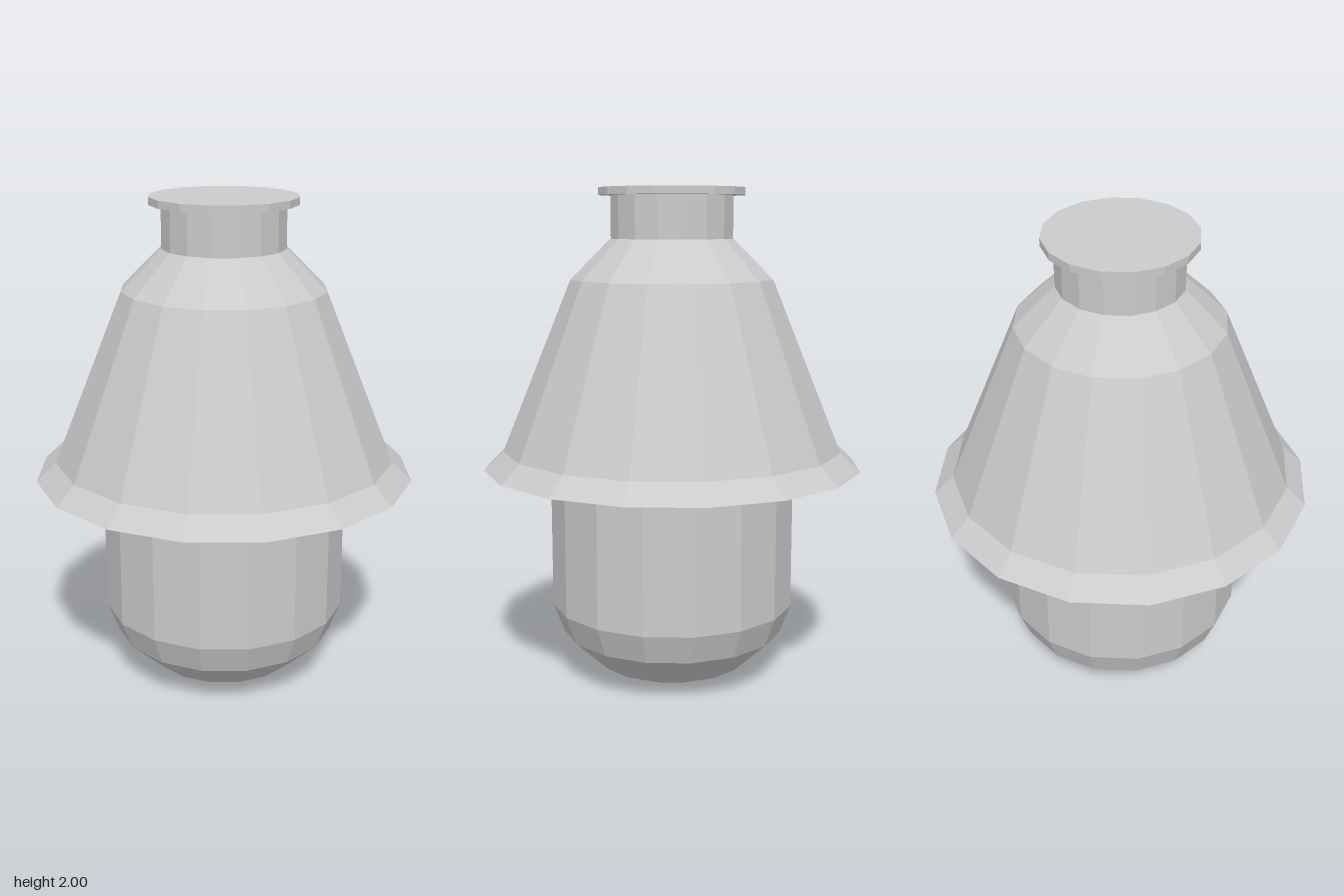
import * as THREE from 'three';

const SIDES = 16;

export function createModel() {
  const group = new THREE.Group();
  const material = new THREE.MeshStandardMaterial({ color: 0xcccccc, flatShading: true });

  // Turns a [radius, height] profile, listed from the bottom up the outside
  const turn = (name, profile) => {
    const points = profile.map(([r, y]) => new THREE.Vector2(r, y));
    const mesh = new THREE.Mesh(new THREE.LatheGeometry(points, SIDES), material);
    mesh.name = name;
    group.add(mesh);
  };

  // Rounded glass bulb, running up inside the shade
  turn('bulb', [
    [0, 0], [0.21, 0.008], [0.31, 0.05], [0.455, 0.185], [0.5, 0.305], [0.5, 1.3], [0, 1.3],
  ]);

  // Hollow flared shade: inner wall down, rim, then outer wall up
  turn('shade', [
    [0, 1.76], [0.21, 1.76], [0.37, 1.61], [0.645, 0.945], [0.71, 0.88],
    [0.77, 0.88], [0.69, 0.955], [0.41, 1.64], [0.25, 1.8], [0, 1.8],
  ]);

  // Neck and flat cap on top
  turn('neck', [[0.247, 1.78], [0.247, 1.975]]);
  turn('cap', [[0, 1.97], [0.295, 1.97], [0.295, 2], [0, 2]]);

  return group;
}
